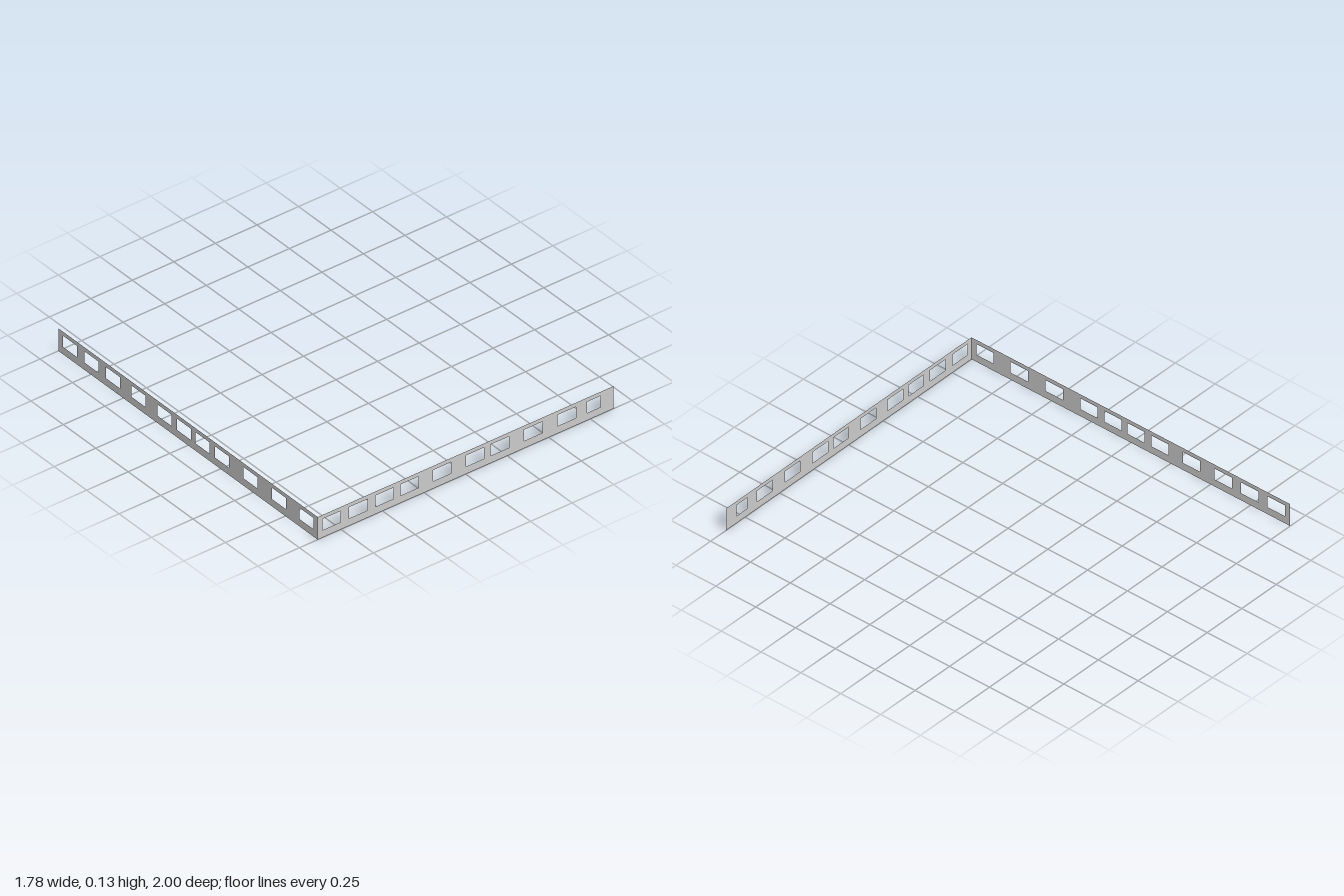
import * as THREE from 'three';

const HEIGHT = 0.13, SILL = 0.042, LINTEL = 0.107;
const HALF_WIDTH = 0.89, HALF_DEPTH = 1;

// Thin wall strip with a row of rectangular windows, given as [start, width]
function wall(name, half, windows, material) {
  const rect = (target, x0, y0, x1, y1) =>
    target.moveTo(x0, y0).lineTo(x1, y0).lineTo(x1, y1).lineTo(x0, y1).closePath();
  const shape = rect(new THREE.Shape(), -half, 0, half, HEIGHT);
  for (const [start, width] of windows) {
    shape.holes.push(rect(new THREE.Path(), start, SILL, start + width, LINTEL));
  }
  const mesh = new THREE.Mesh(new THREE.ShapeGeometry(shape), material);
  mesh.name = name;
  return mesh;
}

export function createModel() {
  const group = new THREE.Group();
  group.name = 'cornerWalls';
  const material = new THREE.MeshStandardMaterial({
    color: 0xcccccc, flatShading: true, side: THREE.DoubleSide,
  });

  // Front wall: equal windows plus a narrower one at the free end
  const frontStarts = [-0.862, -0.701, -0.544, -0.393, -0.197, 0.001, 0.15, 0.351, 0.553];
  const frontWindows = frontStarts.map((x) => [x, 0.11]);
  frontWindows.push([0.731, 0.081]);
  const front = wall('frontWall', HALF_WIDTH, frontWindows, material);
  front.position.z = HALF_DEPTH;
  group.add(front);

  // Side wall: meets the front wall at the corner, its local x runs along +z
  const sideStarts = [-0.966, -0.8, -0.634, -0.435, -0.237, -0.087, 0.059, 0.208, 0.427, 0.647, 0.861];
  const side = wall('sideWall', HALF_DEPTH, sideStarts.map((z) => [z, 0.108]), material);
  side.rotation.y = -Math.PI / 2;
  side.position.x = -HALF_WIDTH;
  group.add(side);

  return group;
}
